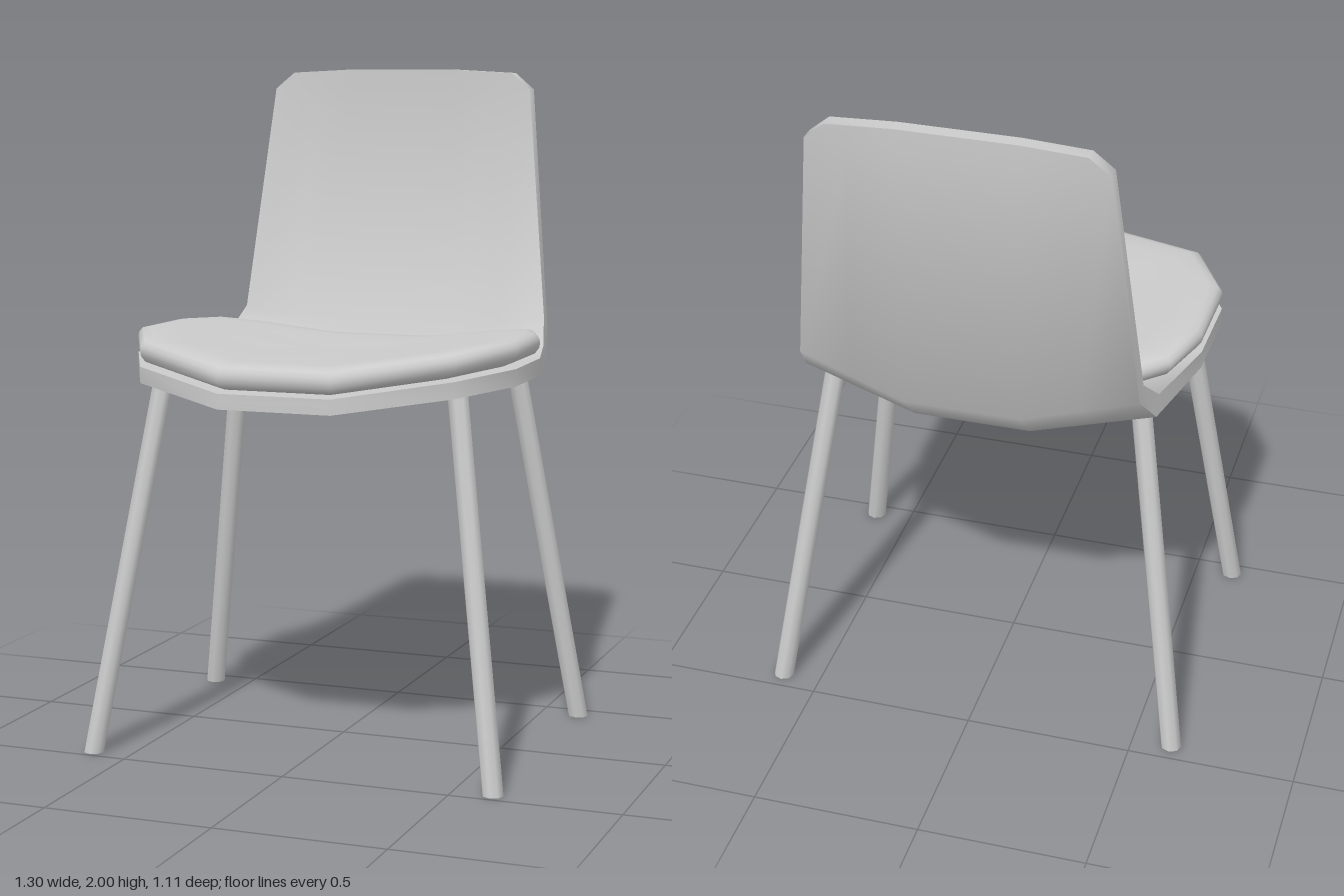
import * as THREE from 'three';
import { toCreasedNormals } from 'three/addons/utils/BufferGeometryUtils.js';

const material = new THREE.MeshStandardMaterial({ color: 0xcccccc });

// Skin a series of closed loops (arrays of Vector3) and crease the sharp edges.
function skin(loops, crease) {
  const pos = [];
  const tri = (a, b, c) => {
    const n = b.clone().sub(a).cross(c.clone().sub(a));
    if (n.length() > 1e-7) for (const p of [a, b, c]) pos.push(p.x, p.y, p.z);
  };
  for (let r = 0; r + 1 < loops.length; r++) {
    const lo = loops[r], hi = loops[r + 1], n = lo.length;
    for (let i = 0; i < n; i++) {
      const j = (i + 1) % n;
      tri(lo[i], lo[j], hi[j]);
      tri(lo[i], hi[j], hi[i]);
    }
  }
  const g = new THREE.BufferGeometry();
  g.setAttribute('position', new THREE.Float32BufferAttribute(pos, 3));
  return toCreasedNormals(g, crease);
}

// One-piece seat and backrest: rows run from the front lip to the top of the back.
// inner / outer are [z, y] on the centre line, lift is [dz, dy] at the side edges.
function shellGeometry() {
  const rows = [
    { w: 0.17, inner: [0.555, 1.105], outer: [0.555, 1.06], lift: [0, 0] },
    { w: 0.48, inner: [0.40, 1.104], outer: [0.40, 1.056], lift: [0, 0.045] },
    { w: 0.59, inner: [0.18, 1.102], outer: [0.18, 1.052], lift: [0, 0.062] },
    { w: 0.585, inner: [-0.08, 1.10], outer: [-0.08, 1.048], lift: [0, 0.065] },
    { w: 0.52, inner: [-0.405, 1.10], outer: [-0.43, 1.04], lift: [0.065, 0.07] },
    { w: 0.495, inner: [-0.495, 1.18], outer: [-0.535, 1.145], lift: [0.065, 0.07] },
    { w: 0.42, inner: [-0.509, 1.94], outer: [-0.554, 1.94], lift: [0.004, 0] },
    { w: 0.36, inner: [-0.51, 1.99], outer: [-0.555, 1.99], lift: [0, 0] },
    { w: 0.17, inner: [-0.51, 2.0], outer: [-0.555, 2.0], lift: [0, 0] },
  ];
  const loops = rows.map(({ w, inner, outer, lift }) => {
    const mid = (w + 0.17) / 2;
    const xs = [-w, -mid, -0.17, 0.17, mid, w];
    const at = ([z, y]) => (x) => {
      const t = w > 0.17 ? Math.max(0, (Math.abs(x) - 0.17) / (w - 0.17)) : 0;
      return new THREE.Vector3(x, y + lift[1] * t, z + lift[0] * t);
    };
    return [...xs.map(at(inner)), ...xs.map(at(outer)).reverse()];
  });
  // Close both ends by folding the loop onto its middle line
  const fold = (loop) => loop.map((p, i) => p.clone().lerp(loop[loop.length - 1 - i], 0.5));
  return skin([fold(loops[0]), ...loops, fold(loops[loops.length - 1])], 1.0);
}

// Padded seat: faceted outline with a rounded rim, curved up towards the sides
function cushionGeometry() {
  const half = [[0.17, 0.555], [0.48, 0.40], [0.59, 0.18], [0.585, -0.08],
    [0.53, -0.24], [0.42, -0.315], [0.17, -0.375]];
  const outline = [...half, ...half.map(([x, z]) => [-x, z]).reverse()];
  const midZ = 0.09;
  // [scale of outline, height] from the underside centre over the rim to the top centre
  const rings = [[0, 1.113], [0.5, 1.113], [0.93, 1.113], [0.975, 1.12], [0.995, 1.135],
    [1, 1.15], [0.995, 1.163], [0.975, 1.178], [0.93, 1.186], [0.8, 1.187],
    [0.6, 1.187], [0.35, 1.187], [0, 1.187]];
  const loops = rings.map(([s, y]) => outline.map(([x, z]) => {
    const lift = 0.062 * Math.max(0, (Math.abs(x * s) - 0.17) / 0.42);
    return new THREE.Vector3(x * s, y + lift, midZ + (z - midZ) * s);
  }));
  return skin(loops, 1.0);
}

// Splayed round leg with ends cut level with the floor
function legGeometry(foot, top, height) {
  const g = new THREE.CylinderGeometry(0.031, 0.031, height, 8);
  g.translate(0, height / 2, 0);
  const p = g.attributes.position;
  for (let i = 0; i < p.count; i++) {
    const t = p.getY(i) / height;
    p.setX(i, p.getX(i) + foot[0] + (top[0] - foot[0]) * t);
    p.setZ(i, p.getZ(i) + foot[1] + (top[1] - foot[1]) * t);
  }
  return toCreasedNormals(g, 1.0);
}

export function createModel() {
  const group = new THREE.Group();
  group.name = 'chair';
  const add = (name, geometry) => {
    const mesh = new THREE.Mesh(geometry, material);
    mesh.name = name;
    group.add(mesh);
  };

  add('shell', shellGeometry());
  add('seatCushion', cushionGeometry());

  for (const [side, s] of [['Left', 1], ['Right', -1]]) {
    add('front' + side + 'Leg', legGeometry([s * 0.618, 0.457], [s * 0.453, 0.295], 1.11));
    add('back' + side + 'Leg', legGeometry([s * 0.618, -0.44], [s * 0.453, -0.275], 1.11));
  }
  return group;
}
